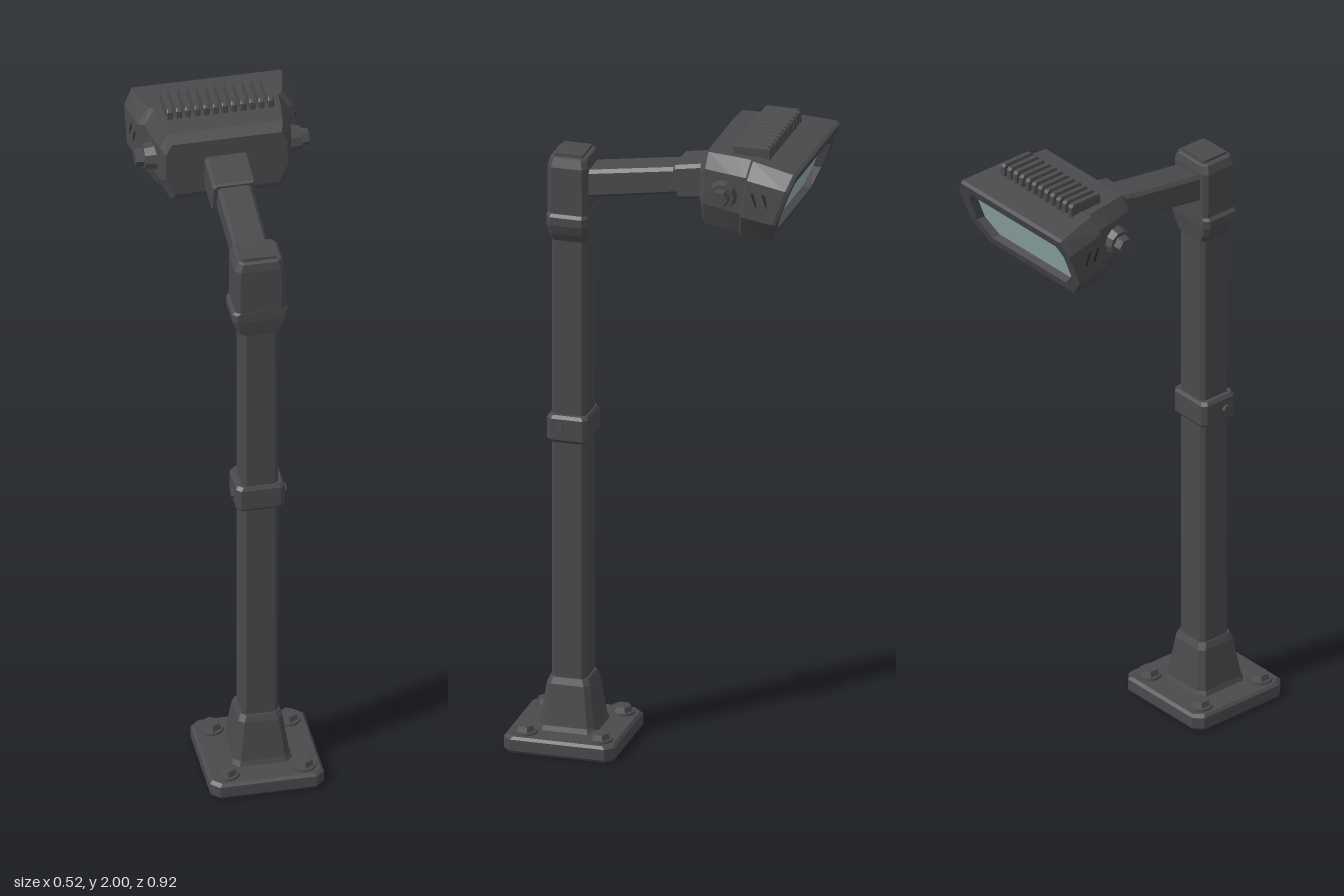
import * as THREE from 'three';

const metal = new THREE.MeshStandardMaterial({ color: 0x4a4a4d });
metal.name = 'dark grey metal';
const glass = new THREE.MeshStandardMaterial({ color: 0x9cb3b5 });
glass.name = 'pale lamp glass';
const slotBlack = new THREE.MeshStandardMaterial({ color: 0x2c2c2f });
slotBlack.name = 'vent black';

// Skin a list of equal-length rings with flat faces; caps are optional
function loft(rings, capStart = true, capEnd = true) {
  const pos = [];
  const tri = (a, b, c) => pos.push(...a, ...b, ...c);
  const n = rings[0].length;
  for (let i = 0; i < rings.length - 1; i++) {
    for (let j = 0; j < n; j++) {
      const k = (j + 1) % n;
      tri(rings[i][j], rings[i][k], rings[i + 1][k]);
      tri(rings[i][j], rings[i + 1][k], rings[i + 1][j]);
    }
  }
  const last = rings[rings.length - 1];
  for (let j = 1; j < n - 1; j++) {
    if (capStart) tri(rings[0][0], rings[0][j + 1], rings[0][j]);
    if (capEnd) tri(last[0], last[j], last[j + 1]);
  }
  const g = new THREE.BufferGeometry();
  g.setAttribute('position', new THREE.Float32BufferAttribute(pos, 3));
  g.computeVertexNormals();
  return g;
}

// Rectangle with cut corners at height y
function cutRect(y, w, d, c) {
  return [[w, d - c], [w, -d + c], [w - c, -d], [-w + c, -d],
    [-w, -d + c], [-w, d - c], [-w + c, d], [w - c, d]].map(([x, z]) => [x, y, z]);
}

// Upright chamfered column from [y, halfWidth, halfDepth, cut] steps
const column = (steps) => loft(steps.map((s) => cutRect(...s)));

// Eight-sided housing section on a leaning plane
function section(zt, zb, yt, yb, t, m, b) {
  const h = yt - yb, y1 = yb + h * 0.32, y2 = yt - h * 0.2;
  const half = [[b, yb], [m, y1], [m, y2], [t, yt]];
  const at = ([x, y], s) => [s * x, y, zb + (zt - zb) * (y - yb) / h];
  return [...half.map((p) => at(p, -1)), ...half.reverse().map((p) => at(p, 1))];
}

function add(parent, name, geometry, material = metal, x = 0, y = 0, z = 0) {
  const mesh = new THREE.Mesh(geometry, material);
  mesh.name = name;
  mesh.position.set(x, y, z);
  parent.add(mesh);
  return mesh;
}

const hex = (r1, r2, h) => new THREE.CylinderGeometry(r1, r2, h, 6).toNonIndexed();

function flat(g) {
  g.computeVertexNormals();
  return g;
}

export function createModel() {
  const model = new THREE.Group();
  model.name = 'floodlightPost';

  // Post, with its foot, band and top joint
  const post = new THREE.Group();
  post.name = 'post';
  post.position.z = 0.29;
  model.add(post);
  add(post, 'basePlate', column([[0, 0.165, 0.165, 0.022], [0.008, 0.17, 0.17, 0.025],
    [0.042, 0.17, 0.17, 0.025], [0.05, 0.162, 0.162, 0.025]]));
  add(post, 'foot', column([[0.045, 0.092, 0.092, 0.02], [0.065, 0.084, 0.084, 0.018],
    [0.19, 0.066, 0.066, 0.015], [0.21, 0.058, 0.058, 0.015]]));
  add(post, 'pole', column([[0.2, 0.054, 0.053, 0.012], [1.65, 0.054, 0.053, 0.012]]));
  add(post, 'band', column([[0.955, 0.066, 0.057, 0.014], [0.965, 0.073, 0.063, 0.014],
    [1.03, 0.073, 0.063, 0.014], [1.04, 0.066, 0.057, 0.014]]));
  add(post, 'jointCollar', column([[1.59, 0.058, 0.055, 0.012], [1.615, 0.073, 0.058, 0.012],
    [1.645, 0.084, 0.062, 0.014], [1.67, 0.084, 0.062, 0.014], [1.68, 0.074, 0.062, 0.014]]));
  add(post, 'jointHousing', column([[1.66, 0.075, 0.061, 0.012], [1.825, 0.075, 0.061, 0.014],
    [1.85, 0.066, 0.056, 0.014], [1.853, 0.06, 0.05, 0.012]]));
  add(post, 'jointLid', new THREE.BoxGeometry(0.1, 0.014, 0.085), metal, 0, 1.854, 0);

  // Foot bolts and band screws
  for (const sx of [-1, 1]) {
    for (const sz of [-1, 1]) {
      add(post, 'boltWasher', new THREE.CylinderGeometry(0.038, 0.04, 0.01, 16),
        metal, sx * 0.115, 0.052, sz * 0.115);
      add(post, 'footBolt', flat(hex(0.026, 0.033, 0.018)), metal, sx * 0.115, 0.064, sz * 0.115);
    }
    const screw = add(post, 'bandScrew', flat(hex(0.013, 0.013, 0.014)), metal, sx * 0.075, 0.998, 0.02);
    screw.rotation.z = Math.PI / 2;
  }

  // Arm rising gently towards the lamp
  const arm = new THREE.Group();
  arm.name = 'arm';
  arm.position.set(0, 1.772, 0.24);
  arm.rotation.x = -Math.PI / 2 + 0.153;
  model.add(arm);
  add(arm, 'armTube', column([[-0.02, 0.052, 0.043, 0.01], [0.4, 0.052, 0.041, 0.01]]));
  add(arm, 'armSleeve', column([[0.283, 0.063, 0.048, 0.01], [0.29, 0.067, 0.053, 0.01],
    [0.44, 0.067, 0.055, 0.01]]));

  // Lamp housing: flared body, hood and recessed front
  const lamp = new THREE.Group();
  lamp.name = 'lamp';
  model.add(lamp);
  const recess = section(-0.42, -0.364, 1.905, 1.757, 0.185, 0.205, 0.16);
  add(lamp, 'housing', loft([
    section(-0.152, -0.15, 1.945, 1.765, 0.165, 0.182, 0.155),
    section(-0.175, -0.16, 1.97, 1.742, 0.172, 0.196, 0.165),
    section(-0.26, -0.24, 1.968, 1.73, 0.182, 0.21, 0.175),
    section(-0.31, -0.27, 1.965, 1.728, 0.186, 0.216, 0.178),
    section(-0.32, -0.278, 1.967, 1.722, 0.2, 0.236, 0.185),
    section(-0.45, -0.365, 1.948, 1.718, 0.225, 0.25, 0.192),
    section(-0.46, -0.376, 1.942, 1.722, 0.222, 0.247, 0.19),
    section(-0.447, -0.386, 1.91, 1.75, 0.19, 0.212, 0.165),
    recess,
  ], true, false));
  add(lamp, 'lens', loft([recess, recess], false, true), glass);

  // Cooling fins
  for (let i = 0; i < 12; i++) {
    add(lamp, 'coolingFin', column([[1.955, 0.009, 0.058, 0.003], [1.992, 0.009, 0.057, 0.003],
      [2, 0.007, 0.05, 0.003]]), metal, -0.151 + i * 0.0275, 0, -0.304);
  }

  // Side pivots and hood vents
  for (const s of [-1, 1]) {
    const pivot = new THREE.Group();
    pivot.name = 'pivot';
    pivot.position.set(s * 0.2, 1.857, -0.233);
    pivot.rotation.z = -s * Math.PI / 2;
    lamp.add(pivot);
    add(pivot, 'pivotBoss', flat(new THREE.CylinderGeometry(0.038, 0.046, 0.04, 10).toNonIndexed()), metal, 0, 0.015, 0);
    add(pivot, 'pivotBolt', flat(hex(0.025, 0.029, 0.03)), metal, 0, 0.045, 0);
    for (const z of [-0.335, -0.37]) {
      const vent = add(lamp, 'hoodVent', new THREE.BoxGeometry(0.008, 0.045, 0.008),
        slotBlack, s * (0.2375 + (-0.33 - z) * 0.11), 1.86, z);
      vent.rotation.x = 0.35;
      vent.rotation.y = s * 0.11;
    }
  }
  return model;
}
